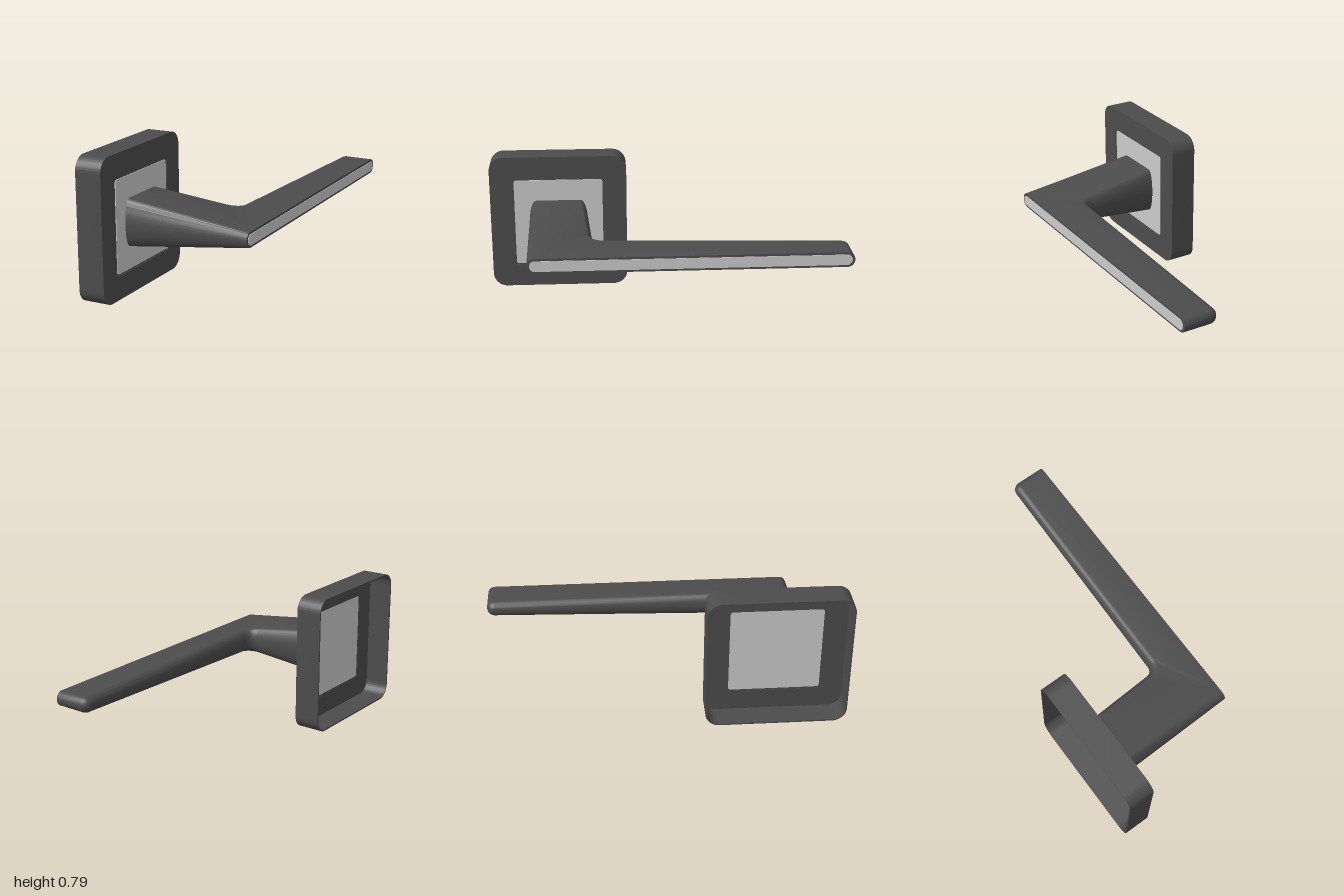
import * as THREE from 'three';
import { toCreasedNormals } from 'three/addons/utils/BufferGeometryUtils.js';

const CY = 0.396; // height of the handle axis
const CZ = 0.605; // centre of the rosette

const dark = new THREE.MeshStandardMaterial({ color: 0x4c4c4c, side: THREE.DoubleSide });
const light = new THREE.MeshStandardMaterial({ color: 0xcccccc, side: THREE.DoubleSide });

// Rounded rectangle centred on the origin
function roundedRect(w, h, r, Type = THREE.Shape) {
  const s = new Type();
  const x = w / 2 - r, y = h / 2 - r;
  s.absarc(x, y, r, 0, Math.PI / 2);
  s.absarc(-x, y, r, Math.PI / 2, Math.PI);
  s.absarc(-x, -y, r, Math.PI, Math.PI * 1.5);
  s.absarc(x, -y, r, Math.PI * 1.5, Math.PI * 2);
  s.closePath();
  return s;
}

// Extrude a shape along +x, between x0 and x1
function slab(name, shape, x0, x1, z, material) {
  const geo = new THREE.ExtrudeGeometry(shape, { depth: x1 - x0, bevelEnabled: false, curveSegments: 10 });
  geo.rotateY(Math.PI / 2);
  const mesh = new THREE.Mesh(toCreasedNormals(geo, 0.6), material);
  mesh.name = name;
  mesh.position.set(x0, CY, z);
  return mesh;
}

// Half thickness of the handle: thins outward along x and toward the tip along z
function halfHeight(x, z) {
  const k = THREE.MathUtils.clamp((z + 1) / 1.4, 0.08, 1);
  return 0.042 + 0.09 * Math.max(0, (0.422 - x) / 0.7) * k;
}

// L-shaped plan outline with outward normals: [x, z, nx, nz]
function handleOutline() {
  const pts = [[-0.281, 0.775, 0, 1], [0.422, 0.765, 0, 1], [0.422, -1, 0, -1]];
  const arc = (cx, cz, r, a0, a1, sign) => {
    for (let i = 0; i <= 8; i++) {
      const a = a0 + (a1 - a0) * i / 8, c = Math.cos(a), s = Math.sin(a);
      pts.push([cx + r * c, cz + r * s, sign * c, sign * s]);
    }
  };
  arc(0.26, -0.955, 0.045, -Math.PI / 2, -Math.PI, 1); // rounded tip
  arc(0.14, 0.36, 0.05, 0, Math.PI / 2, -1); // inner elbow
  pts.push([-0.281, 0.437, 0, -1]);
  return pts;
}

// Handle: rounded flank swept round the outline, closed by top and bottom faces
function handleGeometry() {
  const outline = handleOutline(), n = outline.length;
  const steps = 16, bulge = 0.04;
  const pos = [], index = [];
  for (let j = 0; j <= steps; j++) {
    const t = (j / steps - 0.5) * Math.PI;
    const inset = bulge * (1 - Math.cos(t));
    for (const [px, pz, nx, nz] of outline) {
      const x = px - nx * inset, z = pz - nz * inset;
      pos.push(x, CY + halfHeight(x, z) * Math.sin(t), z);
    }
  }
  for (let j = 0; j < steps; j++) {
    for (let i = 0; i < n; i++) {
      const a = j * n + i, b = j * n + (i + 1) % n;
      index.push(a, b, b + n, a, b + n, a + n);
    }
  }
  const top = steps * n;
  const flat = outline.map((_, i) => new THREE.Vector2(pos[(top + i) * 3], pos[(top + i) * 3 + 2]));
  for (const [a, b, c] of THREE.ShapeUtils.triangulateShape(flat, [])) {
    const turn = flat[b].clone().sub(flat[a]).cross(flat[c].clone().sub(flat[a]));
    const [p, q] = turn < 0 ? [b, c] : [c, b];
    index.push(top + a, top + p, top + q, a, q, p);
  }
  const geo = new THREE.BufferGeometry();
  geo.setAttribute('position', new THREE.Float32BufferAttribute(pos, 3));
  geo.setIndex(index);
  return toCreasedNormals(geo, 0.6);
}

export function createModel() {
  const model = new THREE.Group();
  model.name = 'doorHandle';

  // Square rosette: hollow rim, face plate with a window, light inlay
  const rosette = new THREE.Group();
  rosette.name = 'rosette';
  const rim = roundedRect(0.79, 0.79, 0.08);
  rim.holes.push(roundedRect(0.774, 0.774, 0.072, THREE.Path));
  const face = roundedRect(0.79, 0.79, 0.08);
  face.holes.push(roundedRect(0.53, 0.53, 0.024, THREE.Path));
  const frame = roundedRect(0.53, 0.53, 0.024);
  frame.holes.push(roundedRect(0.512, 0.512, 0.015, THREE.Path));
  rosette.add(
    slab('rosetteRim', rim, -0.427, -0.288, CZ, dark),
    slab('rosetteFace', face, -0.288, -0.277, CZ, dark),
    slab('inlayGroove', frame, -0.287, -0.283, CZ, dark),
    slab('rosetteInlay', roundedRect(0.512, 0.512, 0.015), -0.287, -0.279, CZ, light),
  );

  // Neck and lever in one piece
  const handle = new THREE.Mesh(handleGeometry(), dark);
  handle.name = 'handle';

  // Light strip on the outer edge of the lever
  const strip = slab('leverStrip', roundedRect(1.735, 0.06, 0.0299), 0.42, 0.425, -0.1175, light);

  model.add(rosette, handle, strip);
  return model;
}
